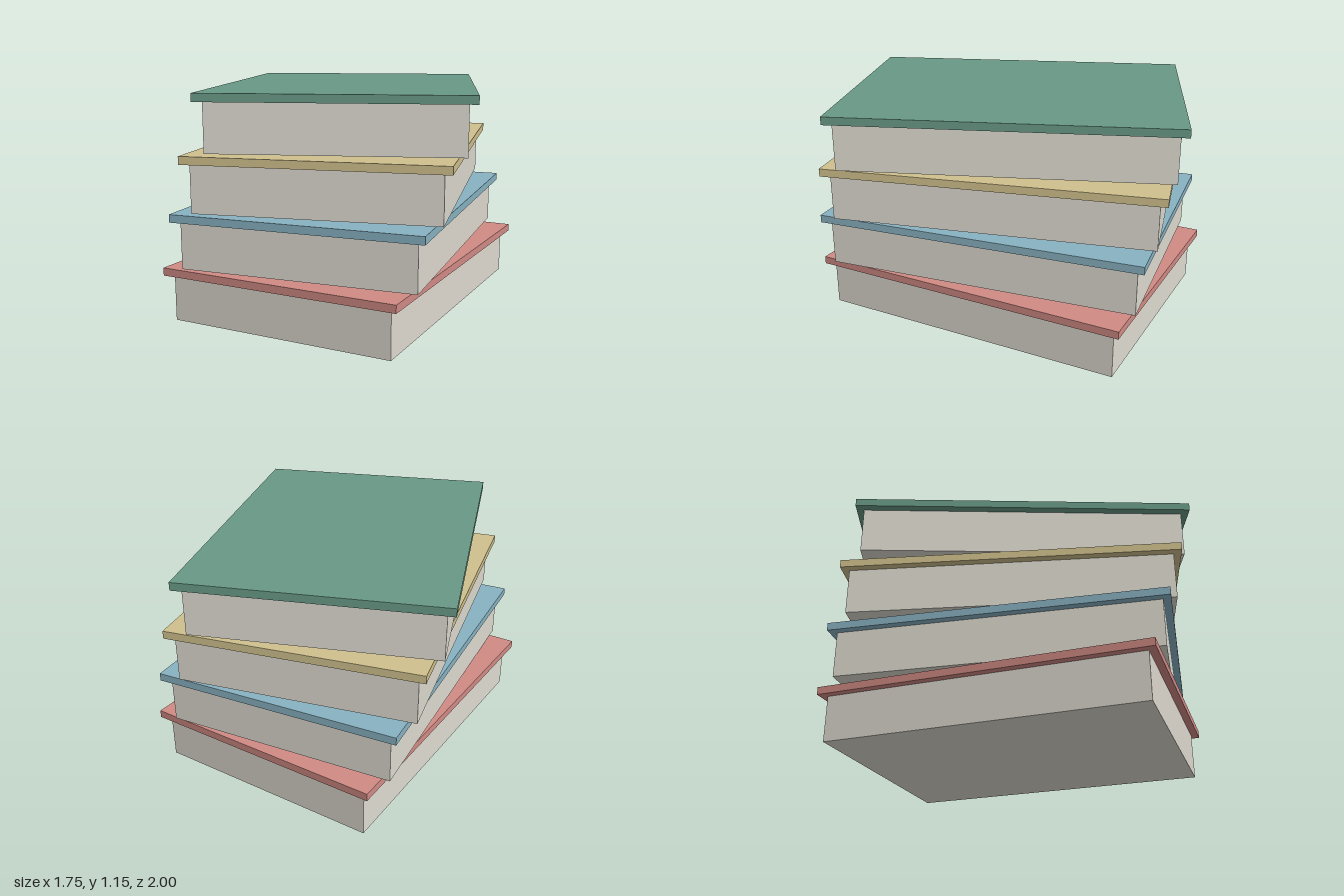
import * as THREE from 'three';

// One flat colour per material
function material(name, color) {
  const m = new THREE.MeshStandardMaterial({ color });
  m.name = name;
  return m;
}

function slab(name, width, height, depth, bottom, mat) {
  const mesh = new THREE.Mesh(new THREE.BoxGeometry(width, height, depth), mat);
  mesh.name = name;
  mesh.position.y = bottom + height / 2;
  return mesh;
}

export function createModel() {
  const model = new THREE.Group();
  model.name = 'bookStack';

  const paper = material('paper', 0xdedad0);
  const covers = [
    material('coverRed', 0xd08a84),
    material('coverBlue', 0x88b2c2),
    material('coverTan', 0xcfc08c),
    material('coverGreen', 0x689886),
  ];

  const pagesHeight = 0.234;
  const coverHeight = 0.039;
  const step = 0.2925; // leaves a thin gap between books
  const twist = 0.12; // each book turns a little further

  covers.forEach((cover, i) => {
    const book = new THREE.Group();
    book.name = `book${i + 1}`;
    book.add(slab('pages', 1.17, pagesHeight, 1.59, 0, paper));
    book.add(slab('cover', 1.248, coverHeight, 1.664, pagesHeight, cover));
    book.position.y = i * step;
    book.rotation.y = i * twist;
    model.add(book);
  });

  return model;
}
